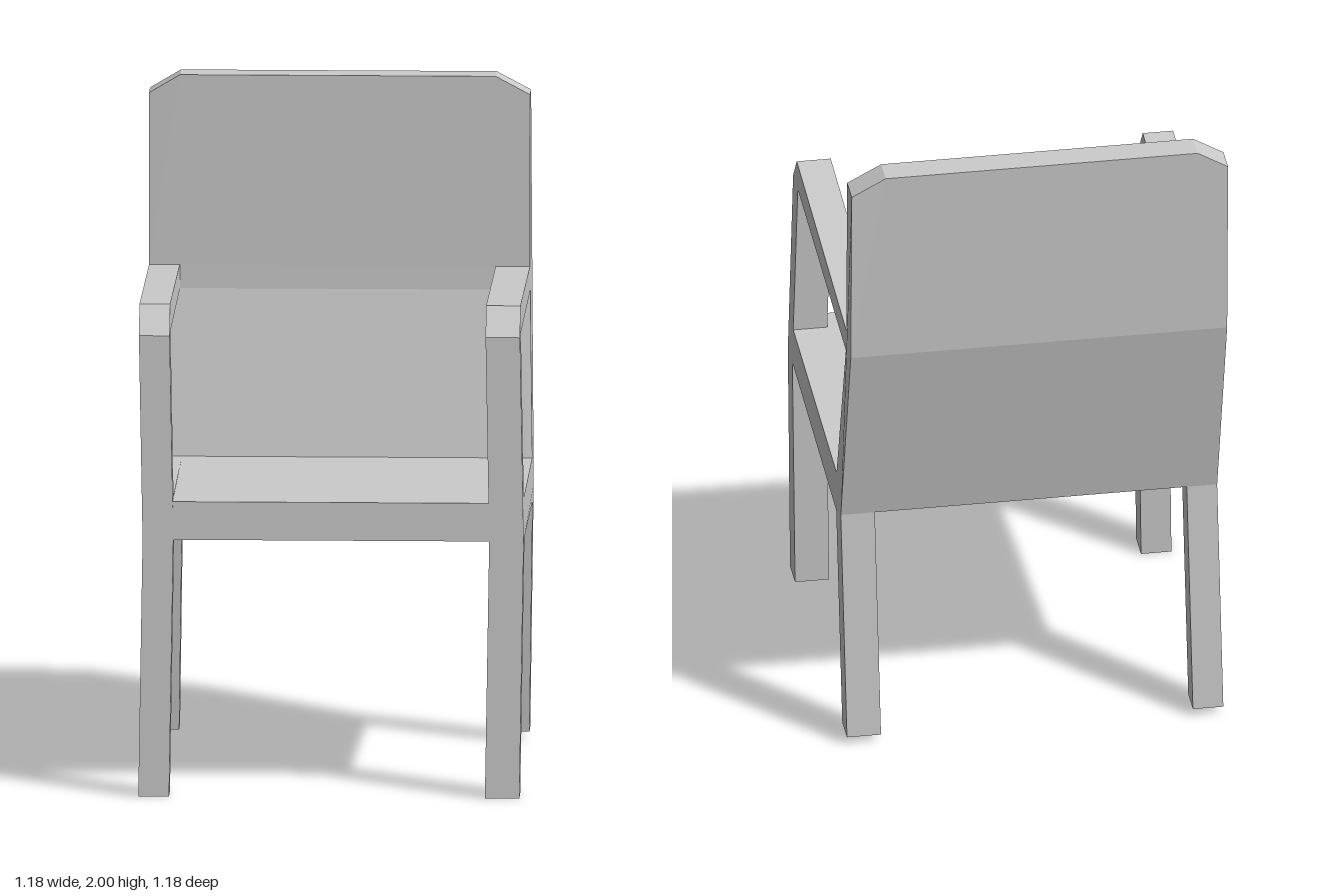
import * as THREE from 'three';

// Extrude a side profile of [z, y] points across x0..x1
function extrudeProfile(points, x0, x1, hole) {
  const toVec = ([z, y]) => new THREE.Vector2(-z, y);
  const shape = new THREE.Shape(points.map(toVec));
  if (hole) shape.holes.push(new THREE.Path(hole.map(toVec)));
  const geo = new THREE.ExtrudeGeometry(shape, { depth: x1 - x0, bevelEnabled: false });
  return geo.rotateY(Math.PI / 2).translate(x0, 0, 0);
}

// Slight sideways lean: greatest at seat height, none at the feet and above the arms
function lean(geo) {
  const p = geo.attributes.position;
  for (let i = 0; i < p.count; i++) {
    const y = p.getY(i);
    const k = y < 0.78 ? y / 0.78 : Math.max(0, (1.4 - y) / 0.62);
    p.setX(i, p.getX(i) + 0.012 * k);
  }
  geo.computeVertexNormals();
  return geo;
}

export function createModel() {
  const group = new THREE.Group();
  group.name = 'armchair';
  const material = new THREE.MeshStandardMaterial({ color: 0xcccccc, flatShading: true });
  const add = (name, geo) => {
    const mesh = new THREE.Mesh(lean(geo), material);
    mesh.name = name;
    group.add(mesh);
  };

  // Side frame: both legs, seat rail, arm and back post in one outline
  const frame = [
    [0.58, 0], [0.548, 0.775], [0.522, 1.39], [0.456, 1.475],
    [-0.473, 1.425], [-0.488, 2], [-0.575, 2], [-0.56, 1.38],
    [-0.443, 0.77], [-0.488, 0.025], [-0.4, 0.025], [-0.354, 0.735],
    [0.463, 0.775], [0.487, 0],
  ];
  const armOpening = [[0.46, 0.89], [-0.354, 0.865], [-0.47, 1.355], [0.434, 1.39]];

  // Seat and backrest fill the space between the frames
  const seat = [[0.548, 0.775], [0.543, 0.89], [-0.354, 0.865], [-0.443, 0.77], [-0.354, 0.735]];
  const back = [
    [-0.354, 0.865], [-0.47, 1.355], [-0.473, 1.425], [-0.488, 2],
    [-0.575, 2], [-0.56, 1.38], [-0.443, 0.77],
  ];

  const right = [-0.577, -0.485], left = [0.46, 0.563];
  for (const [name, x0, x1, outer] of [['rightFrame', ...right, right[0]], ['leftFrame', ...left, left[1]]]) {
    const geo = extrudeProfile(frame, x0, x1, armOpening);
    // Chamfer the outer top corner of the back post
    const p = geo.attributes.position;
    for (let i = 0; i < p.count; i++) {
      if (p.getY(i) > 1.99 && Math.abs(p.getX(i) - outer) < 0.001) p.setY(i, 1.945);
    }
    add(name, geo);
  }
  add('seat', extrudeProfile(seat, right[1], left[0]));
  add('backrest', extrudeProfile(back, right[1], left[0]));

  // The whole chair is turned very slightly
  group.rotation.y = -0.024;
  return group;
}
